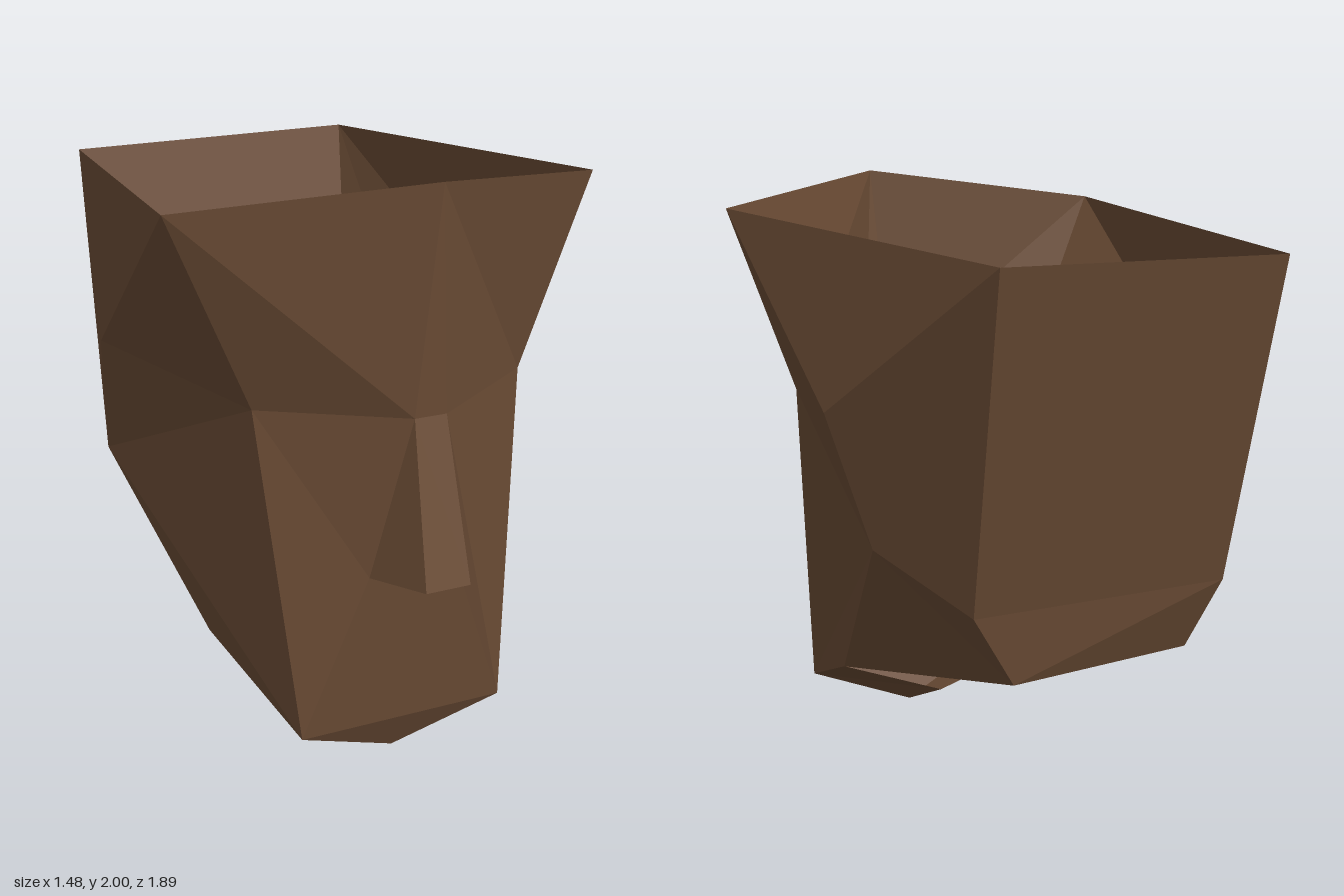
import * as THREE from 'three';

// Landmarks of the shell; L is the -x side, R the +x side
const P = {
  // open upper rim
  brow: [0, 2, 0.87],
  templeL: [-0.74, 1.9, 0.52], templeR: [0.735, 1.89, 0.52],
  crownL: [-0.52, 1.78, -0.945], crownR: [0.53, 1.78, -0.945],
  // eye line and nose
  eyeL: [-0.46, 1.25, 0.51], eyeR: [0.49, 1.25, 0.51],
  bridgeL: [-0.05, 1.26, 0.81], bridgeR: [0.06, 1.26, 0.81],
  tipL: [-0.07, 0.735, 0.945], tipR: [0.085, 0.735, 0.945],
  wingL: [-0.16, 0.715, 0.735], wingR: [0.15, 0.715, 0.735],
  // sides and nape
  earL: [-0.71, 1.3, -0.19], earR: [0.72, 1.28, -0.19],
  lobeL: [-0.665, 0.87, -0.3], lobeR: [0.62, 0.85, -0.32],
  napeL: [-0.515, 0.68, -0.66], napeR: [0.45, 0.68, -0.66],
  // chin and neck opening
  chinL: [-0.36, 0.14, 0.66], chinR: [0.37, 0.14, 0.66],
  chin: [0, 0, 0.595], throat: [-0.05, 0.07, 0.435],
  jawL: [-0.48, 0.33, 0.16], jawR: [0.49, 0.32, 0.16],
  neckL: [-0.43, 0.44, -0.57], neckR: [0.28, 0.43, -0.62],
};

// Swap sides of a face and reverse its corner order
const mirror = (face) => face.split(' ').reverse()
  .map((n) => n.endsWith('L') ? n.slice(0, -1) + 'R' : n.endsWith('R') ? n.slice(0, -1) + 'L' : n)
  .join(' ');
const both = (faces) => [...faces, ...faces.map(mirror)];

// Faceted panel from named corners, each face fanned into triangles
function panel(name, faces, material) {
  const pos = [];
  for (const face of faces) {
    let c = face.split(' ');
    // start the fan at the outer corner so both sides split alike
    const start = c.findIndex((n) => /^(temple|eye|crown|lobe|chin[LR])/.test(n));
    if (start > 0) c = [...c.slice(start), ...c.slice(0, start)];
    for (let i = 1; i < c.length - 1; i++) pos.push(...P[c[0]], ...P[c[i]], ...P[c[i + 1]]);
  }
  const g = new THREE.BufferGeometry();
  g.setAttribute('position', new THREE.Float32BufferAttribute(pos, 3));
  g.computeVertexNormals();
  const mesh = new THREE.Mesh(g, material);
  mesh.name = name;
  return mesh;
}

export function createModel() {
  const group = new THREE.Group();
  group.name = 'faceShell';
  const brown = new THREE.MeshStandardMaterial({ color: 0x6b4c35, side: THREE.DoubleSide });
  brown.name = 'brown';

  const parts = {
    forehead: [...both(['templeL eyeL bridgeL brow']), 'brow bridgeL bridgeR'],
    nose: ['bridgeL tipL tipR bridgeR', 'tipL wingL wingR tipR', ...both(['bridgeL wingL tipL'])],
    cheeks: both(['eyeL chinL wingL bridgeL']),
    mouth: ['wingL chinL chinR wingR'],
    chin: ['chinL chin chinR', ...both(['chinL jawL throat chin'])],
    sides: both([
      'templeL earL eyeL', 'earL lobeL eyeL', 'eyeL lobeL chinL', 'lobeL jawL chinL',
      'templeL crownL earL', 'crownL napeL lobeL earL', 'lobeL napeL neckL jawL',
    ]),
    back: ['crownL crownR napeR napeL', 'napeL napeR neckR neckL'],
  };
  for (const [name, faces] of Object.entries(parts)) group.add(panel(name, faces, brown));
  return group;
}
